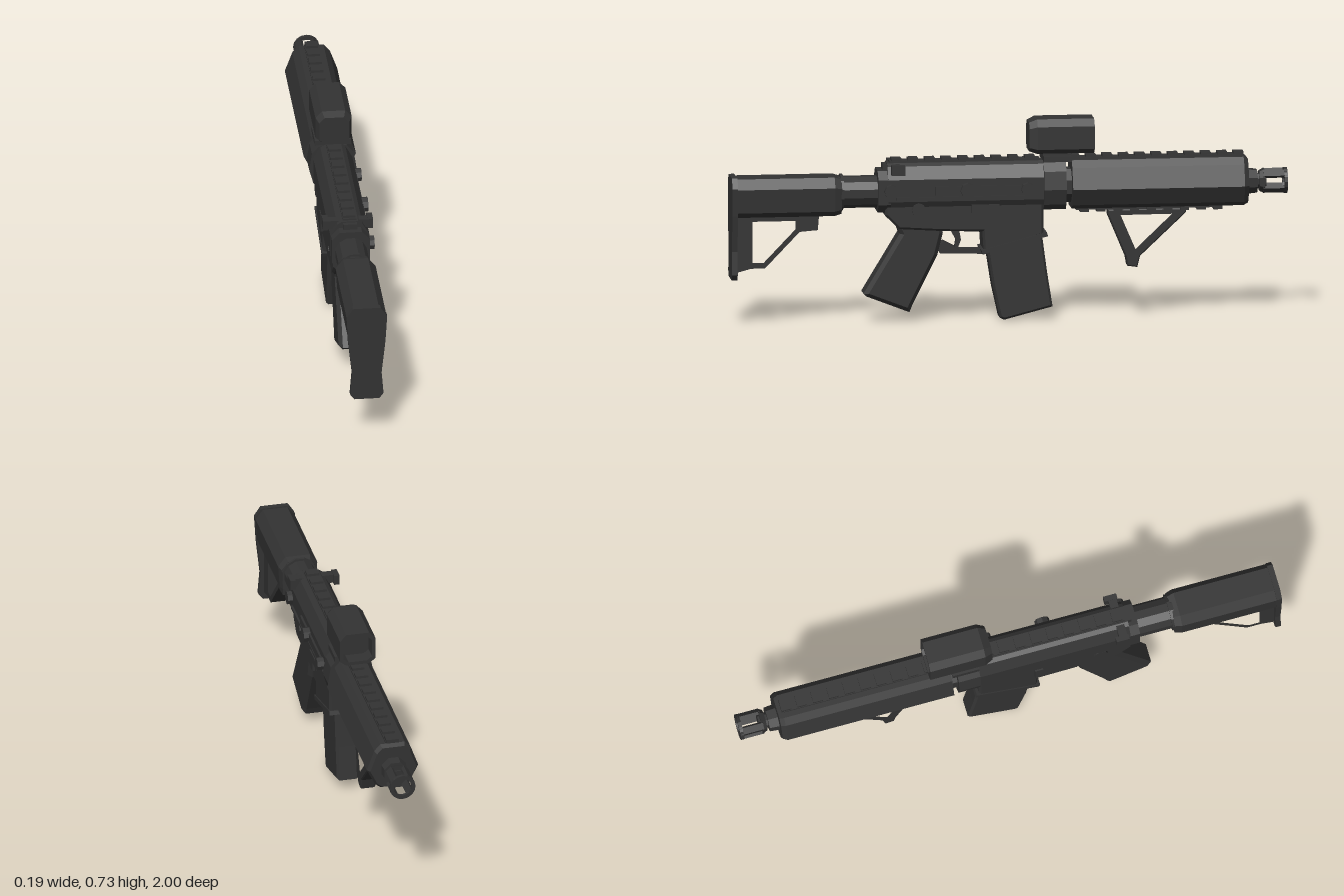
import * as THREE from 'three';

const gunmetal = new THREE.MeshStandardMaterial({ color: 0x333333 });
gunmetal.name = 'darkGrey';

export function createModel() {
  const model = new THREE.Group();
  model.name = 'carbine';

  const add = (name, geo, x = 0, y = 0, z = 0) => {
    const g = geo.index ? geo.toNonIndexed() : geo;
    g.computeVertexNormals();
    const m = new THREE.Mesh(g, gunmetal);
    m.name = name;
    m.position.set(x, y, z);
    model.add(m);
    return m;
  };
  const toPoints = (pts) => pts.map((p) => new THREE.Vector2(p[0], p[1]));

  // Side outline of [z, y] points, extruded across x and chamfered
  const side = (name, pts, half, bevel = 0, hole = null) => {
    const shape = new THREE.Shape(toPoints(pts));
    if (hole) shape.holes.push(new THREE.Path(toPoints(hole)));
    const depth = 2 * (half - bevel);
    const g = new THREE.ExtrudeGeometry(shape, {
      depth, bevelEnabled: bevel > 0, bevelSize: bevel, bevelThickness: bevel,
      bevelOffset: -bevel, bevelSegments: 1,
    });
    g.translate(0, 0, -depth / 2).rotateY(-Math.PI / 2);
    return add(name, g);
  };

  // Right half outline, bottom to top, mirrored into a closed ring
  const mirror = (half) => [...half, ...half.slice().reverse().map(([x, y]) => [-x, y])];
  // Ring scaled about a centre height
  const scaled = (ring, s, cy) => ring.map(([x, y]) => [x * s, cy + (y - cy) * s]);

  // Capped skin through rings [z, points], listed from the back (+z) to the muzzle (-z)
  const loft = (name, rings) => {
    const pos = [];
    const R = rings.map(([z, pts]) => pts.map(([x, y]) => [x, y, z]));
    const n = R[0].length;
    const mid = (r) => [0, r.reduce((s, p) => s + p[1], 0) / n, r[0][2]];
    const tri = (...v) => v.forEach((p) => pos.push(...p));
    const last = R[R.length - 1];
    for (let j = 0; j < n; j++) {
      const k = (j + 1) % n;
      tri(mid(R[0]), R[0][j], R[0][k]);
      tri(mid(last), last[k], last[j]);
      for (let i = 0; i < R.length - 1; i++) {
        tri(R[i][j], R[i + 1][j], R[i][k]);
        tri(R[i][k], R[i + 1][j], R[i + 1][k]);
      }
    }
    const g = new THREE.BufferGeometry();
    g.setAttribute('position', new THREE.Float32BufferAttribute(pos, 3));
    return add(name, g);
  };

  const box = (name, w, h, d, x, y, z) => add(name, new THREE.BoxGeometry(w, h, d), x, y, z);
  const barrelPart = (name, r0, r1, z0, z1, y, sides = 8) =>
    add(name, new THREE.CylinderGeometry(r1, r0, z0 - z1, sides).rotateY(Math.PI / sides).rotateX(-Math.PI / 2), 0, y, (z0 + z1) / 2);
  const knob = (name, r, x0, x1, y, z) =>
    add(name, new THREE.CylinderGeometry(r, r, x1 - x0, 8).rotateZ(Math.PI / 2), (x0 + x1) / 2, y, z);

  // Stock: tube cover, butt plate and triangular frame
  const stockRing = mirror([[0.04, 0.39], [0.066, 0.41], [0.072, 0.495], [0.045, 0.53]]);
  loft('stockBody', [[0.985, stockRing], [0.63, stockRing], [0.605, scaled(stockRing, 0.9, 0.46)]]);
  const butt = mirror([[0.045, 0.165], [0.06, 0.185], [0.053, 0.27], [0.067, 0.4], [0.073, 0.5], [0.05, 0.535]]);
  loft('buttPlate', [[1.0, butt], [0.98, butt]]);
  side('stockFrame',
    [[0.985, 0.4], [0.985, 0.19], [0.93, 0.205], [0.88, 0.205], [0.755, 0.335], [0.69, 0.34], [0.685, 0.4]],
    0.04, 0, [[0.925, 0.375], [0.925, 0.225], [0.885, 0.225], [0.77, 0.345], [0.77, 0.375]]);

  // Stock tube and end rings
  barrelPart('stockTube', 0.058, 0.058, 0.62, 0.45, 0.47, 12);
  barrelPart('tubeRing', 0.066, 0.066, 0.607, 0.597, 0.47, 12);
  const plate = mirror([[0.045, 0.4], [0.068, 0.43], [0.068, 0.52], [0.04, 0.55]]);
  loft('endPlate', [[0.475, plate], [0.43, plate]]);

  // Receiver
  const upper = mirror([[0.06, 0.42], [0.07, 0.44], [0.07, 0.52], [0.045, 0.565], [0.03, 0.575]]);
  loft('upperReceiver', [[0.44, upper], [-0.125, upper]]);
  side('lowerReceiver',
    [[0.45, 0.46], [0.45, 0.39], [0.4, 0.34], [0.25, 0.33], [0.1, 0.325], [0.095, 0.25], [-0.12, 0.31], [-0.12, 0.46]],
    0.06, 0.008);
  side('magazineWellLip', [[0.105, 0.258], [0.1, 0.243], [-0.135, 0.305], [-0.13, 0.32]], 0.064);
  side('magazine', [[0.085, 0.28], [0.06, 0.12], [0.035, 0.008], [0.02, 0], [-0.155, 0.045], [-0.135, 0.17], [-0.115, 0.32]],
    0.04, 0.008);
  side('pistolGrip',
    [[0.42, 0.385], [0.395, 0.32], [0.525, 0.105], [0.515, 0.095], [0.36, 0.035], [0.35, 0.06], [0.26, 0.24], [0.24, 0.32], [0.25, 0.385]],
    0.048, 0.014);
  side('triggerGuard', [[0.265, 0.27], [0.25, 0.245], [0.09, 0.24], [0.09, 0.255], [0.18, 0.257], [0.235, 0.285]], 0.03);
  side('trigger', [[0.215, 0.335], [0.19, 0.29], [0.195, 0.26], [0.183, 0.26], [0.172, 0.29], [0.18, 0.335]], 0.012);

  // Receiver controls
  box('chargingHandle', 0.165, 0.032, 0.03, -0.005, 0.556, 0.41);
  box('chargingHandleStem', 0.05, 0.03, 0.09, 0, 0.556, 0.41);
  for (const s of [-1, 1]) box('chargingHandleEnd', 0.02, 0.036, 0.048, s * 0.08 - 0.005, 0.556, 0.405);
  box('portCover', 0.014, 0.032, 0.34, 0.07, 0.478, 0.1);
  box('portHinge', 0.016, 0.01, 0.5, 0.069, 0.452, 0.16);
  knob('forwardKnob', 0.025, 0.06, 0.088, 0.48, 0.43);
  knob('portKnobRear', 0.027, 0.06, 0.095, 0.48, 0.155);
  knob('portKnobFront', 0.024, 0.06, 0.095, 0.48, -0.06);
  knob('selector', 0.025, -0.068, 0.07, 0.41, 0.33);
  box('magazineRelease', 0.02, 0.03, 0.1, 0.062, 0.41, 0.09);
  box('boltCatch', 0.016, 0.06, 0.03, 0.062, 0.385, 0.12);
  box('leftCatch', 0.016, 0.07, 0.03, -0.062, 0.39, 0.1);

  // Clamp between receiver and handguard
  const clamp = mirror([[0.05, 0.4], [0.07, 0.42], [0.085, 0.475], [0.075, 0.54], [0.05, 0.57]]);
  loft('barrelClamp', [[-0.12, clamp], [-0.2, clamp]]);
  barrelPart('barrelNeck', 0.065, 0.065, -0.19, -0.24, 0.48, 8);

  // Handguard with chamfered muzzle end
  const guard = mirror([[0.045, 0.4], [0.065, 0.415], [0.094, 0.475], [0.067, 0.55], [0.045, 0.575]]);
  loft('handguard', [[-0.222, guard], [-0.84, guard], [-0.856, scaled(guard, 0.9, 0.485)]]);

  // Top rail teeth on receiver and handguard, and lower rail teeth
  box('receiverRail', 0.05, 0.012, 0.54, 0, 0.575, 0.16);
  box('handguardRail', 0.05, 0.012, 0.61, 0, 0.575, -0.53);
  for (let i = 0; i < 9; i++) box('receiverRailTooth', 0.045, 0.014, 0.036, 0, 0.583, 0.405 - i * 0.06);
  for (let i = 0; i < 11; i++) box('handguardRailTooth', 0.045, 0.014, 0.036, 0, 0.583, -0.235 - i * 0.059);
  box('lowerRail', 0.05, 0.014, 0.52, 0, 0.398, -0.5);
  for (let i = 0; i < 9; i++) box('lowerRailTooth', 0.06, 0.014, 0.032, 0, 0.391, -0.27 - i * 0.06);

  // Triangular foregrip
  side('foregrip',
    [[-0.355, 0.39], [-0.355, 0.37], [-0.42, 0.215], [-0.425, 0.185], [-0.46, 0.18], [-0.47, 0.22], [-0.635, 0.375], [-0.635, 0.39]],
    0.028, 0.004, [[-0.395, 0.373], [-0.452, 0.24], [-0.59, 0.373]]);

  // Barrel tip and slotted flash hider
  barrelPart('barrelCollar', 0.048, 0.044, -0.85, -0.892, 0.48);
  barrelPart('barrel', 0.028, 0.028, -0.88, -0.925, 0.48);
  barrelPart('flashHiderBase', 0.038, 0.047, -0.9, -0.918, 0.48);
  for (let i = 0; i < 4; i++) {
    const a = Math.PI / 4 + (i * Math.PI) / 2;
    const prong = box('flashHiderProng', 0.012, 0.026, 0.085, Math.cos(a) * 0.039, 0.48 + Math.sin(a) * 0.039, -0.955);
    prong.rotation.z = a;
  }
  const ring = new THREE.Shape().absarc(0, 0, 0.047, 0, Math.PI * 2);
  ring.holes.push(new THREE.Path().absarc(0, 0, 0.033, 0, Math.PI * 2, true));
  add('flashHiderRing', new THREE.ExtrudeGeometry(ring, { depth: 0.012, bevelEnabled: false, curveSegments: 8 }), 0, 0.48, -1);

  // Optic: chamfered housing with a recessed front window
  const optic = mirror([[0.042, 0.6], [0.065, 0.618], [0.065, 0.7], [0.042, 0.725]]);
  const inner = scaled(optic, 0.8, 0.662);
  loft('opticHousing', [
    [-0.07, scaled(optic, 0.83, 0.652)], [-0.098, optic], [-0.303, optic], [-0.303, inner], [-0.25, inner],
  ]);
  box('opticMount', 0.13, 0.02, 0.1, 0, 0.583, -0.17);
  box('opticPost', 0.085, 0.03, 0.1, 0, 0.597, -0.17);

  return model;
}
